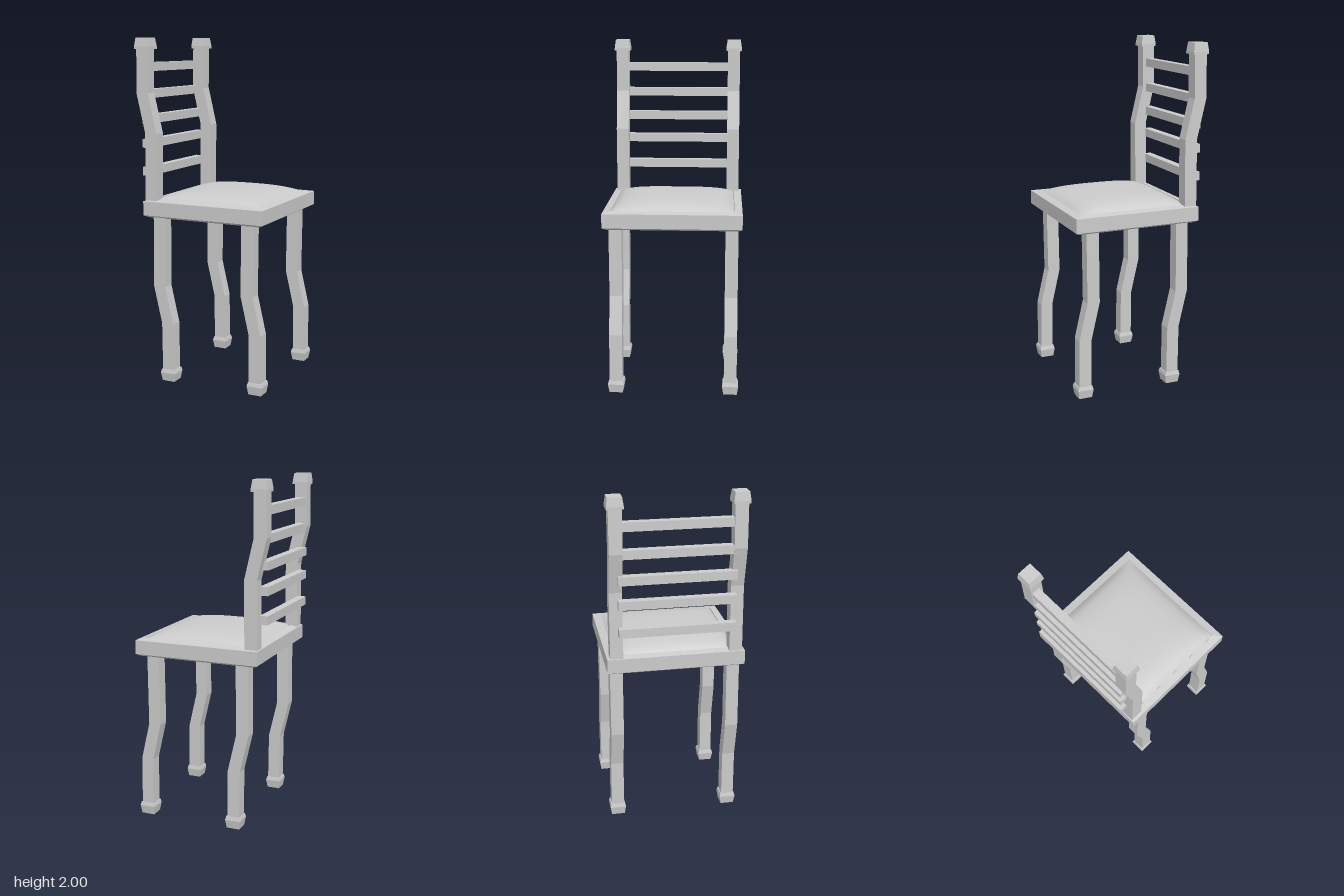
import * as THREE from 'three';

const wood = new THREE.MeshStandardMaterial({ color: 0xcccccc, flatShading: true });
const fabric = new THREE.MeshStandardMaterial({ color: 0xcccccc, side: THREE.DoubleSide });

// Closed loft through horizontal rectangles, each [centre x, y, half width, half depth]
function loft(name, rings, z = 0) {
  const pos = [], idx = [];
  for (const [x, y, w, d = w] of rings) {
    for (const [sx, sz] of [[-1, -1], [-1, 1], [1, 1], [1, -1]]) pos.push(x + sx * w, y, z + sz * d);
  }
  for (let i = 0; i < rings.length - 1; i++) {
    for (let j = 0; j < 4; j++) {
      const a = i * 4 + j, b = i * 4 + (j + 1) % 4;
      idx.push(a, b, b + 4, a, b + 4, a + 4);
    }
  }
  const t = (rings.length - 1) * 4;
  idx.push(0, 2, 1, 0, 3, 2, t, t + 1, t + 2, t, t + 2, t + 3);
  const g = new THREE.BufferGeometry();
  g.setAttribute('position', new THREE.Float32BufferAttribute(pos, 3));
  g.setIndex(idx);
  const flat = g.toNonIndexed();
  flat.computeVertexNormals();
  const mesh = new THREE.Mesh(flat, wood);
  mesh.name = name;
  return mesh;
}

// Square leg with a kink towards the front and a flared foot
function leg(name, x, z) {
  const group = new THREE.Group();
  group.name = name;
  const r = 0.037;
  group.add(
    loft('legShaft', [[x + 0.05, 0.03, r], [x + 0.047, 0.35, r], [x - 0.004, 0.57, r], [x, 1.0, r]], z),
    loft('foot', [[x + 0.05, 0, 0.039], [x + 0.05, 0.05, 0.047], [x + 0.05, 0.07, 0.042]], z)
  );
  return group;
}

// Back post leaning backwards, with a tapered finial
function post(name, z) {
  const group = new THREE.Group();
  group.name = name;
  const r = 0.037;
  group.add(
    loft('postShaft', [[-0.308, 1.03, r], [-0.304, 1.46, r], [-0.358, 1.69, r], [-0.354, 1.95, r]], z),
    loft('finial', [[-0.353, 1.935, 0.047], [-0.353, 1.95, 0.047], [-0.353, 2, 0.04]], z)
  );
  return group;
}

// Domed cushion from a plane raised by a rule
function cushion() {
  const w = 0.325, d = 0.348;
  const g = new THREE.PlaneGeometry(w * 2, d * 2, 28, 28).rotateX(-Math.PI / 2);
  const p = g.attributes.position;
  for (let i = 0; i < p.count; i++) {
    const u = Math.min(1, Math.abs(p.getX(i) / w)), v = Math.min(1, Math.abs(p.getZ(i) / d));
    p.setY(i, 0.053 * Math.pow((1 - u ** 3) * (1 - v ** 4), 0.6));
  }
  g.computeVertexNormals();
  const mesh = new THREE.Mesh(g, fabric);
  mesh.position.set(0.028, 1.073, 0);
  mesh.name = 'cushion';
  return mesh;
}

export function createModel() {
  const chair = new THREE.Group();
  chair.name = 'chair';

  // Seat frame: bevelled underside, raised rim, shallow recess for the cushion
  chair.add(loft('seatFrame', [
    [0.024, 0.975, 0.352, 0.372], [0.024, 0.988, 0.375, 0.395],
    [0.024, 1.07, 0.375, 0.395], [0.024, 1.079, 0.331, 0.35], [0.024, 1.071, 0.329, 0.348]
  ]));
  chair.add(cushion());

  chair.add(
    leg('frontLegLeft', 0.297, 0.327), leg('frontLegRight', 0.297, -0.337),
    leg('backLegLeft', -0.255, 0.341), leg('backLegRight', -0.255, -0.339),
    post('postLeft', 0.341), post('postRight', -0.341)
  );

  // Horizontal back slats fixed to the rear of the posts
  for (const y of [1.235, 1.397, 1.537, 1.683, 1.836]) {
    const slat = new THREE.Mesh(new THREE.BoxGeometry(0.048, 0.05, 0.66), wood);
    slat.position.set(-0.364, y, 0);
    slat.name = 'backSlat';
    chair.add(slat);
  }
  return chair;
}
